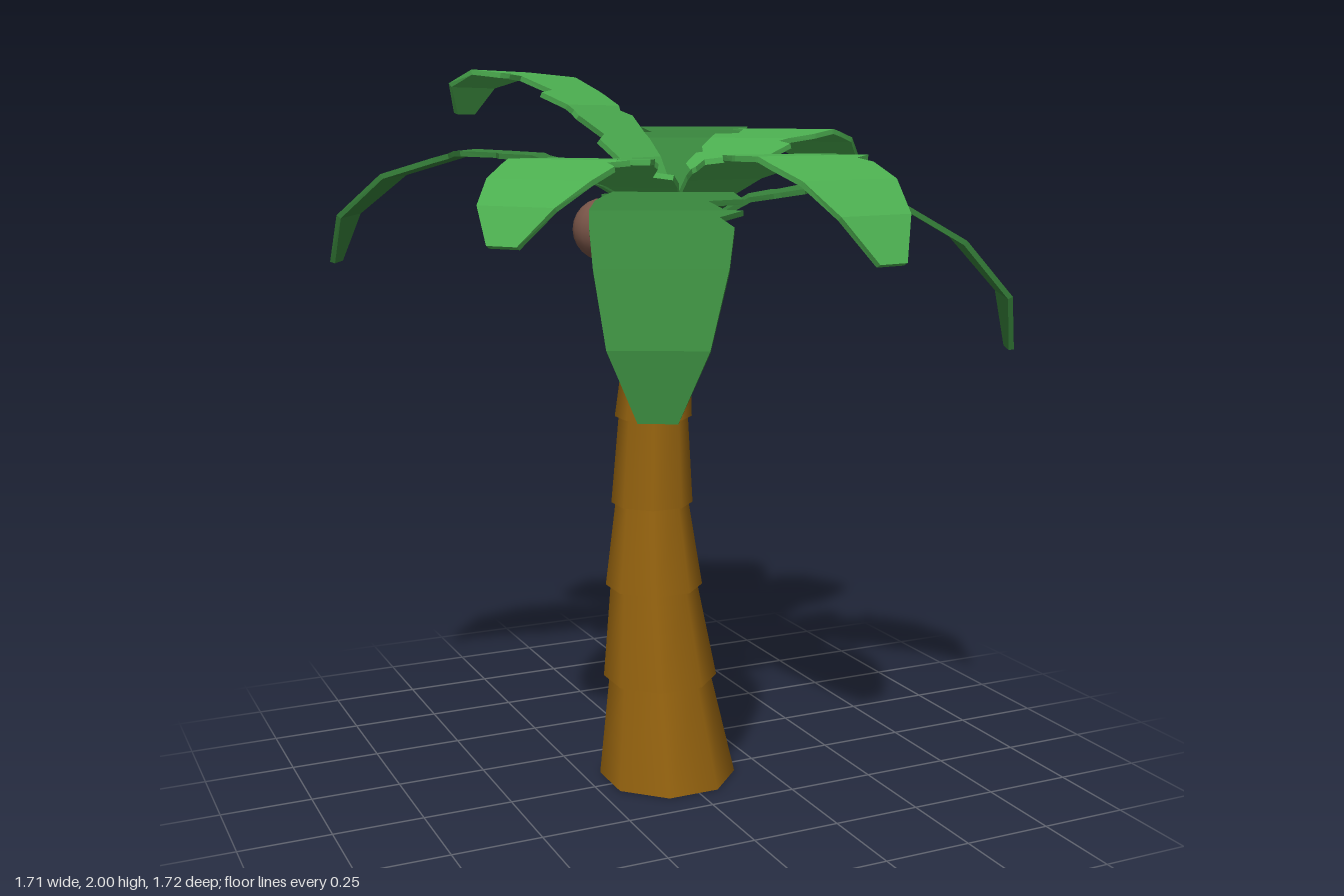
import * as THREE from 'three';

const mat = (name, color) => {
  const m = new THREE.MeshStandardMaterial({ color });
  m.name = name;
  return m;
};

// Trunk joints: [y, centre x, centre z, half width]
const JOINTS = [
  [0, -0.017, -0.017, 0.18],
  [0.305, -0.047, 0, 0.148],
  [0.58, -0.072, 0.015, 0.125],
  [0.82, -0.082, 0.025, 0.104],
  [1.06, -0.073, 0.015, 0.098],
  [1.28, -0.052, 0.005, 0.093],
  [1.63, -0.02, 0, 0.075],
];

// One eight-sided tapered ring, sheared so that it leans to the next joint
function trunkSegment([y0, x0, z0, r0], [y1, x1, z1, r1]) {
  const k = 1 / Math.cos(Math.PI / 8);
  const h = y1 - y0;
  const geo = new THREE.CylinderGeometry(r1 * 0.9 * k, r0 * k, h, 8);
  geo.rotateY(Math.PI / 8).translate(0, h / 2, 0);
  const p = geo.attributes.position;
  for (let i = 0; i < p.count; i++) {
    const t = p.getY(i) / h;
    p.setXYZ(i, p.getX(i) + x0 + (x1 - x0) * t, p.getY(i) + y0, p.getZ(i) + z0 + (z1 - z0) * t);
  }
  return geo;
}

// Leaf outline: [station along the spine, left half width, right half width]
const OUTLINE = [
  [0, 0.04, 0.04], [0.6, 0.09, 0.09], [1, 0.13, 0.12],
  [1.35, 0.15, 0.15], [1.45, 0.1, 0.15], [1.8, 0.15, 0.17],
  [1.9, 0.15, 0.12], [2, 0.16, 0.14], [2.4, 0.185, 0.17],
  [2.5, 0.1, 0.175], [2.95, 0.14, 0.18], [3, 0.185, 0.18],
  [3.12, 0.13, 0.178], [3.3, 0.165, 0.175], [4, 0.155, 0.155],
  [5, 0.115, 0.115], [6, 0.045, 0.045],
];

// Thin leaf bent along a spine of [distance from trunk, height] points
function leafGeometry(spine, dx, dz) {
  const thick = 0.014;
  const len = Math.hypot(dx, dz);
  dx /= len;
  dz /= len;
  const under = spine.map(([r, y], i) => {
    const a = spine[Math.max(i - 1, 0)], b = spine[Math.min(i + 1, 6)];
    const tr = b[0] - a[0], ty = b[1] - a[1], l = Math.hypot(tr, ty);
    return [r + (ty / l) * thick, y - (tr / l) * thick];
  });
  const at = (line, s) => {
    const i = Math.min(Math.floor(s), 5), f = s - i;
    return [0, 1].map((k) => line[i][k] * (1 - f) + line[i + 1][k] * f);
  };
  const pos = [], index = [];
  for (const [s, left, right] of OUTLINE) {
    const put = (line, w) => {
      const [r, y] = at(line, s);
      pos.push(dx * r + dz * w, y, dz * r - dx * w);
    };
    put(spine, left);
    put(spine, -right);
    put(under, -right);
    put(under, left);
  }
  const quad = (a, b, c, d) => index.push(a, b, c, a, c, d);
  const n = OUTLINE.length - 1;
  for (let i = 0; i < n; i++) {
    for (let k = 0; k < 4; k++) {
      const a = i * 4 + k, b = i * 4 + ((k + 1) % 4);
      quad(a, b, b + 4, a + 4);
    }
  }
  quad(0, 3, 2, 1);
  quad(n * 4, n * 4 + 1, n * 4 + 2, n * 4 + 3);
  const geo = new THREE.BufferGeometry();
  geo.setAttribute('position', new THREE.Float32BufferAttribute(pos, 3));
  geo.setIndex(index);
  const flat = geo.toNonIndexed();
  flat.computeVertexNormals();
  return flat;
}

// Leaves: direction (x, z) and spine
const LARGE = [
  [0.46, -0.84, [[0.02, 1.6], [0.16, 1.72], [0.34, 1.81], [0.56, 1.84], [0.76, 1.79], [0.89, 1.69], [0.96, 1.57]]],
  [-0.84, -0.43, [[0.02, 1.6], [0.18, 1.7], [0.37, 1.77], [0.57, 1.78], [0.77, 1.72], [0.9, 1.61], [0.94, 1.48]]],
  [0.82, 0.42, [[0.02, 1.56], [0.2, 1.66], [0.38, 1.69], [0.58, 1.66], [0.77, 1.55], [0.9, 1.4], [0.92, 1.25]]],
  [-0.42, 0.82, [[0.02, 1.55], [0.2, 1.65], [0.38, 1.685], [0.58, 1.65], [0.77, 1.53], [0.9, 1.36], [0.92, 1.2]]],
];
const SMALL = [
  [-0.44, -0.52, [[0, 1.6], [0.1, 1.76], [0.24, 1.9], [0.4, 1.98], [0.54, 1.995], [0.64, 1.96], [0.67, 1.88]]],
  [0.68, -0.31, [[0.02, 1.6], [0.17, 1.74], [0.32, 1.81], [0.48, 1.835], [0.61, 1.81], [0.7, 1.76], [0.76, 1.68]]],
  [-0.64, 0.42, [[0.02, 1.6], [0.19, 1.7], [0.35, 1.765], [0.5, 1.765], [0.62, 1.72], [0.71, 1.66], [0.765, 1.57]]],
  [0.19, 0.81, [[0.02, 1.6], [0.2, 1.72], [0.37, 1.775], [0.55, 1.775], [0.68, 1.72], [0.77, 1.64], [0.83, 1.53]]],
];

export function createModel() {
  const bark = mat('bark brown', 0x95630f);
  const shell = mat('coconut brown', 0x795548);
  const lightGreen = mat('light leaf green', 0x4caf50);
  const darkGreen = mat('dark leaf green', 0x37833b);
  const model = new THREE.Group();
  model.name = 'palmTree';
  const group = (name) => {
    const g = new THREE.Group();
    g.name = name;
    model.add(g);
    return g;
  };
  const add = (parent, name, geo, material) => {
    const mesh = new THREE.Mesh(geo, material);
    mesh.name = name;
    parent.add(mesh);
    return mesh;
  };

  // Trunk
  const trunk = group('trunk');
  for (let i = 0; i < JOINTS.length - 1; i++) {
    add(trunk, `trunkSegment${i + 1}`, trunkSegment(JOINTS[i], JOINTS[i + 1]), bark);
  }

  // Crown of leaves
  const crown = group('crown');
  LARGE.forEach(([x, z, spine], i) => add(crown, `largeLeaf${i + 1}`, leafGeometry(spine, x, z), darkGreen));
  SMALL.forEach(([x, z, spine], i) => add(crown, `smallLeaf${i + 1}`, leafGeometry(spine, x, z), lightGreen));

  // Coconuts
  const coconuts = group('coconuts');
  add(coconuts, 'largeCoconut', new THREE.SphereGeometry(0.12, 16, 12), shell).position.set(0, 1.51, -0.18);
  add(coconuts, 'smallCoconut', new THREE.SphereGeometry(0.086, 16, 12), shell).position.set(-0.16, 1.565, -0.12);

  return model;
}
